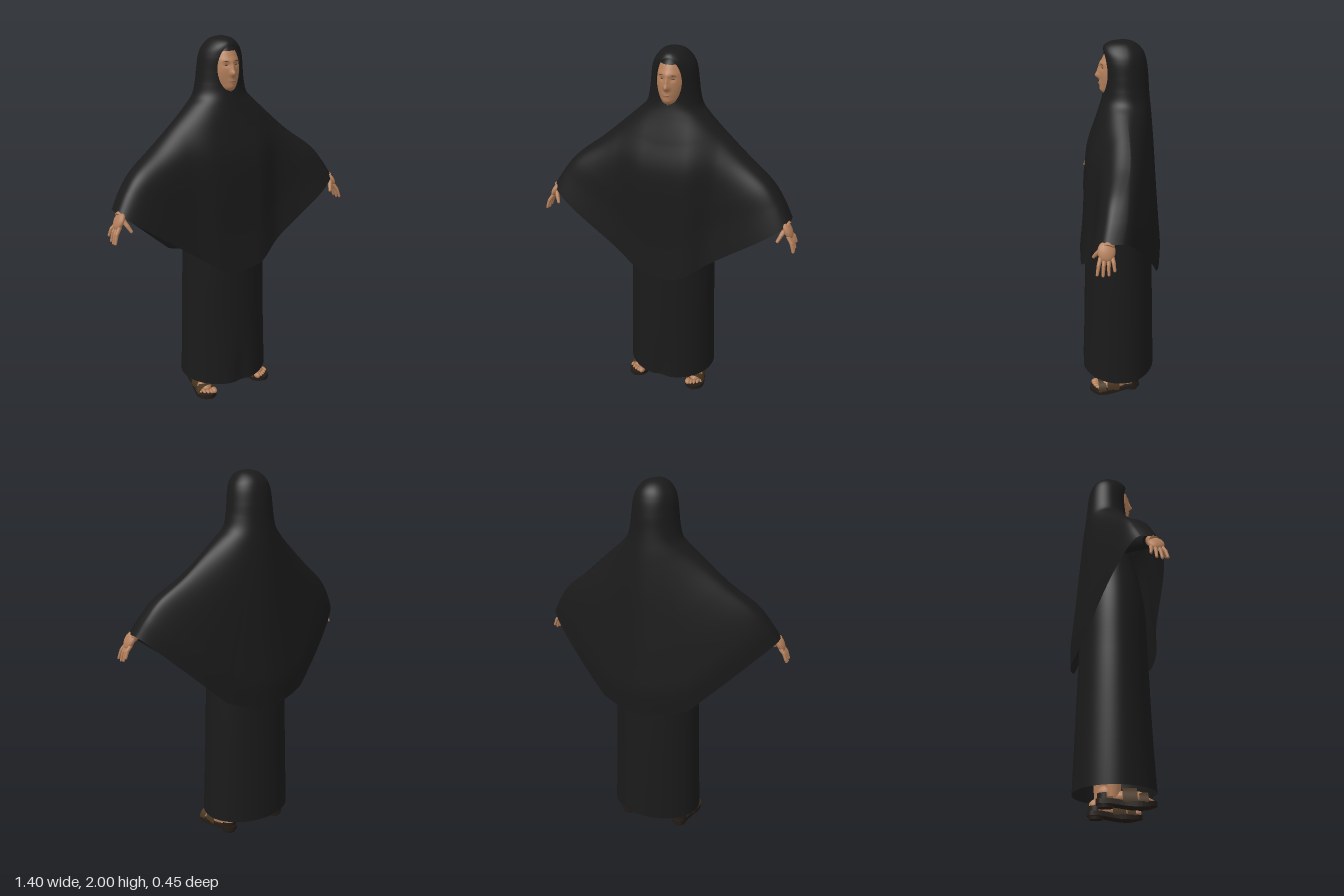
import * as THREE from 'three';
import { ParametricGeometry } from 'three/addons/geometries/ParametricGeometry.js';

const flat = (name, color, side = THREE.FrontSide) => {
  const m = new THREE.MeshStandardMaterial({ color, side });
  m.name = name;
  return m;
};
const V = (x, y, z) => new THREE.Vector3(x, y, z);
const { smoothstep, lerp } = THREE.MathUtils;
const spline = (pts) => new THREE.CatmullRomCurve3(pts.map((p) => V(...p)), false, 'catmullrom', 0.5);
const gauss = (x, y, cx, cy, sx, sy) => Math.exp(-(((x - cx) / sx) ** 2) - ((y - cy) / sy) ** 2);
// rounded in the middle, straight towards the side
const hemRise = (a, k, h) => (a < k ? h * (a / k) ** 2 : h + ((1 - h) * (a - k)) / (1 - k));

export function createModel() {
  const cloth = flat('black cloth', 0x1a1a1a, THREE.DoubleSide);
  const skin = flat('skin', 0xb37f5b);
  const hair = flat('brows and eyes', 0x5a3c2b);
  const lip = flat('lips', 0xa06a50);
  const leather = flat('brown leather', 0x46341f, THREE.DoubleSide);
  const rubber = flat('dark sole', 0x231c17);
  const root = new THREE.Group();
  root.name = 'cloakedFigure';

  const add = (name, geo, mat, parent = root) => {
    const m = new THREE.Mesh(geo, mat);
    m.name = name;
    parent.add(m);
    return m;
  };
  const ball = (name, p, r, mat, parent) => {
    const m = add(name, new THREE.SphereGeometry(1, 16, 12), mat, parent);
    m.position.set(...p);
    m.scale.set(...r);
    return m;
  };
  // tapered round limb between two points
  const limb = (name, a, b, ra, rb, mat, parent) => {
    const A = V(...a), B = V(...b), d = B.clone().sub(A);
    const m = add(name, new THREE.CylinderGeometry(rb, ra, d.length(), 14), mat, parent);
    m.position.copy(A).addScaledVector(d, 0.5);
    m.quaternion.setFromUnitVectors(V(0, 1, 0), d.normalize());
    return m;
  };

  // Cloak: side, front and back profiles from crown to hem
  const side = spline([[0.001, 2, -0.02], [0.055, 1.985, -0.025], [0.093, 1.945, -0.03], [0.112, 1.9, -0.03],
    [0.122, 1.83, -0.03], [0.13, 1.77, -0.03], [0.147, 1.71, -0.03], [0.19, 1.665, -0.02], [0.28, 1.585, -0.01],
    [0.4, 1.48, 0], [0.53, 1.38, 0.03], [0.6, 1.295, 0.05], [0.655, 1.205, 0.075]]);
  const front = spline([[0, 2, -0.02], [0, 1.99, 0.045], [0, 1.965, 0.08], [0, 1.91, 0.085], [0, 1.83, 0.08],
    [0, 1.77, 0.08], [0, 1.73, 0.085], [0, 1.67, 0.1], [0, 1.55, 0.135], [0, 1.4, 0.175],
    [0, 1.2, 0.19], [0, 1, 0.2], [0, 0.79, 0.22]]);
  const back = spline([[0, 2, -0.02], [0, 1.985, -0.075], [0, 1.95, -0.115], [0, 1.9, -0.135], [0, 1.83, -0.145],
    [0, 1.76, -0.15], [0, 1.7, -0.156], [0, 1.62, -0.165], [0, 1.45, -0.18], [0, 1.25, -0.195],
    [0, 1.05, -0.212], [0, 0.9, -0.225], [0, 0.775, -0.222]]);
  const cloak = (u, v, out) => {
    const s = side.getPoint(v), f = front.getPoint(v), b = back.getPoint(v);
    // the front seam parts around the face
    const k = 1 - ((f.y - 1.85) / 0.115) ** 2;
    const t0 = k > 0 ? Math.asin(Math.min(0.95, 0.066 * Math.sqrt(k) / s.x)) : 0;
    const t = t0 + (2 * Math.PI - 2 * t0) * u;
    const sn = Math.sin(t), a = Math.abs(sn), x = s.x * sn;
    const isFront = Math.cos(t) > 0, c = Math.abs(Math.cos(t));
    const spread = smoothstep(v, 0.5, 0.9);
    const end = isFront ? f : b;
    const y = end.y + (s.y - end.y) * (isFront ? hemRise(a, 0.2, 0.07) : hemRise(a, 0.38, 0.12));
    // the back tapers almost straight to a broad sleeve edge
    const bulge = isFront ? c ** (1 - 0.4 * spread) : lerp(c, 0.66 * (1 - a ** 1.6) + 0.34 * c ** 0.35, spread);
    let z = s.z + (end.z - s.z) * bulge;
    // the front hangs flat beside the middle fold, more so on the left
    if (isFront) {
      const w = Math.abs(x);
      z -= (x > 0 ? 0.042 : 0.022) * spread * smoothstep(w, 0.11, 0.27) * (1 - smoothstep(w, 0.27, 0.62));
    }
    out.set(x, y, z);
  };
  add('cloak', new ParametricGeometry(cloak, 128, 108), cloth);

  // Robe: oval cross-sections with a soft fold near the hem
  const robeSide = spline([[0.256, 0.095, 0], [0.247, 0.4, 0], [0.236, 0.8, 0], [0.215, 1.15, 0], [0.13, 1.5, 0]]);
  const robeFront = spline([[0, 0, 0.226], [0, 0, 0.208], [0, 0, 0.193], [0, 0, 0.177], [0, 0, 0.1]]);
  const robeBack = spline([[0, 0, -0.201], [0, 0, -0.192], [0, 0, -0.18], [0, 0, -0.165], [0, 0, -0.12]]);
  const robe = (u, v, out) => {
    const t = u * 2 * Math.PI, c = Math.cos(t);
    const s = robeSide.getPoint(v);
    const x = s.x * Math.sin(t);
    let z = Math.abs((c > 0 ? robeFront : robeBack).getPoint(v).z) * c;
    if (c > 0) z -= 0.015 * gauss(x, s.y, 0, 0.1, 0.04, 0.18);
    out.set(x, s.y, z);
  };
  add('robe', new ParametricGeometry(robe, 72, 32), cloth);

  // Face: ellipsoid with nose, brow, sockets and chin pushed in or out
  const cy = 1.835;
  const relief = (x, y) =>
    0.018 * gauss(x, y, 0, 1.824, 0.014, 0.015) + 0.012 * gauss(x, y, 0, 1.85, 0.01, 0.03)
    + 0.005 * gauss(x, y, 0, 1.888, 0.06, 0.012) + 0.018 * gauss(x, y, 0, 1.752, 0.035, 0.024)
    + 0.007 * gauss(x, y, 0, 1.787, 0.025, 0.016)
    - 0.006 * (gauss(x, y, 0.027, 1.865, 0.013, 0.01) + gauss(x, y, -0.027, 1.865, 0.013, 0.01));
  const faceZ = (x, y) => 0.1 * Math.sqrt(Math.max(0, 1 - (x / 0.077) ** 2 - ((y - cy) / 0.14) ** 2)) + relief(x, y);
  const head = new THREE.SphereGeometry(1, 96, 96);
  head.scale(0.077, 0.14, 0.1);
  const hp = head.attributes.position;
  for (let i = 0; i < hp.count; i++) {
    if (hp.getZ(i) > 0.01) hp.setZ(i, hp.getZ(i) + relief(hp.getX(i), hp.getY(i) + cy));
  }
  head.computeVertexNormals();
  add('head', head, skin).position.y = cy;
  const cap = add('underCap', new THREE.SphereGeometry(1, 40, 12, 0, Math.PI * 2, 0, 0.82), cloth);
  cap.scale.set(0.082, 0.143, 0.109);
  cap.position.y = cy;
  for (const s of [1, -1]) {
    const brow = ball('brow', [s * 0.028, 1.884, faceZ(0.028, 1.884)], [0.016, 0.002, 0.003], hair);
    brow.rotation.set(0, s * 0.3, s * -0.08);
    ball('eye', [s * 0.027, 1.865, faceZ(0.027, 1.865)], [0.01, 0.003, 0.003], hair).rotation.y = s * 0.3;
  }
  ball('lips', [0, 1.786, faceZ(0, 1.786)], [0.019, 0.004, 0.003], lip);

  for (const s of [1, -1]) {
    const label = s > 0 ? 'left' : 'right';
    // Sleeve inside the cloak
    limb(label + 'Sleeve', [s * 0.14, 1.46, 0.01], [s * 0.61, 1.205, 0.085], 0.05, 0.034, cloth);

    // Hand with spread, two-jointed fingers
    const hand = new THREE.Group();
    hand.name = label + 'Hand';
    root.add(hand);
    limb('wrist', [s * 0.59, 1.225, 0.085], [s * 0.64, 1.185, 0.103], 0.024, 0.029, skin, hand);
    const palm = ball('palm', [s * 0.648, 1.17, 0.111], [0.02, 0.048, 0.042], skin, hand);
    palm.rotation.z = s * 0.5;
    const digit = (name, pts, r) => {
      for (let i = 0; i < 2; i++) {
        const p = pts[i], q = pts[i + 1];
        const e = r * (0.85 - 0.2 * i);
        limb(name, [s * p[0], p[1], p[2]], [s * q[0], q[1], q[2]], r * (1 - 0.15 * i), e, skin, hand);
        ball(name + 'Joint', [s * q[0], q[1], q[2]], [e, e, e], skin, hand);
      }
    };
    for (let i = 0; i < 4; i++) {
      const z = 0.086 + i * 0.017, fan = (i - 1) * 0.01;
      const drop = [0.024, 0.004, 0, 0.006][i];
      digit('finger', [[0.655, 1.148, z], [0.678, 1.112 + drop / 2, z + fan * 0.6], [0.691, 1.067 + drop, z + fan]], 0.0108);
    }
    digit('thumb', [[0.635, 1.175, 0.13], [0.622, 1.15, 0.152], [0.61, 1.125, 0.168]], 0.0125);

    // Foot and sandal, toes turned slightly outward
    const foot = new THREE.Group();
    foot.name = label + 'Foot';
    foot.position.x = s * 0.168;
    foot.rotation.y = s * 0.08;
    root.add(foot);
    ball('instep', [0, 0.05, 0.055], [0.044, 0.034, 0.095], skin, foot);
    ball('heel', [0, 0.068, -0.05], [0.036, 0.04, 0.046], skin, foot);
    limb('ankle', [0, 0.05, -0.025], [0, 0.3, -0.03], 0.04, 0.05, skin, foot);
    for (let i = 0; i < 5; i++) {
      const r = i ? 0.0115 - i * 0.0006 : 0.017;
      ball('toe', [s * (-0.032 + i * 0.0185), 0.038, 0.153 - i * i * 0.002], [r, r, 0.024], skin, foot);
    }
    // sole outline, thin at the toe and raised at the heel
    const outline = new THREE.Shape(new THREE.SplineCurve([[0, 0.19], [0.042, 0.165], [0.057, 0.11], [0.047, 0.03],
      [0.043, -0.05], [0.031, -0.092], [0, -0.105], [-0.031, -0.092], [-0.043, -0.05], [-0.047, 0.03], [-0.057, 0.11],
      [-0.042, 0.165], [0, 0.19]].map((p) => new THREE.Vector2(...p))).getPoints(48));
    const sole = new THREE.ExtrudeGeometry(outline, { depth: 0.024, bevelEnabled: false });
    sole.rotateX(Math.PI / 2);
    const sp = sole.attributes.position;
    for (let i = 0; i < sp.count; i++) {
      const z = sp.getZ(i);
      sp.setY(i, sp.getY(i) + 0.025 + 0.016 * smoothstep(-z, -0.08, 0.06) + 0.008 * smoothstep(z, 0.13, 0.19));
    }
    sole.computeVertexNormals();
    add('sole', sole, rubber, foot);
    const heel = add('heelBlock', new THREE.CylinderGeometry(0.04, 0.036, 0.032, 20), rubber, foot);
    heel.position.set(0, 0.016, -0.058);
    // straps arching over the foot and round the heel
    const strap = (name, z, rx, ry, width) => {
      const g = new THREE.CylinderGeometry(1, 1, width, 24, 1, true, -Math.PI / 2, Math.PI);
      g.rotateX(-Math.PI / 2);
      g.scale(rx, ry, 1);
      add(name, g, leather, foot).position.set(0, 0.022, z);
    };
    strap('toeStrap', 0.12, 0.056, 0.053, 0.044);
    strap('instepStrap', 0.055, 0.05, 0.074, 0.07);
    const counter = new THREE.CylinderGeometry(0.042, 0.043, 0.03, 24, 1, true, Math.PI / 2, Math.PI);
    add('heelStrap', counter, rubber, foot).position.set(0, 0.052, -0.055);
  }
  return root;
}
